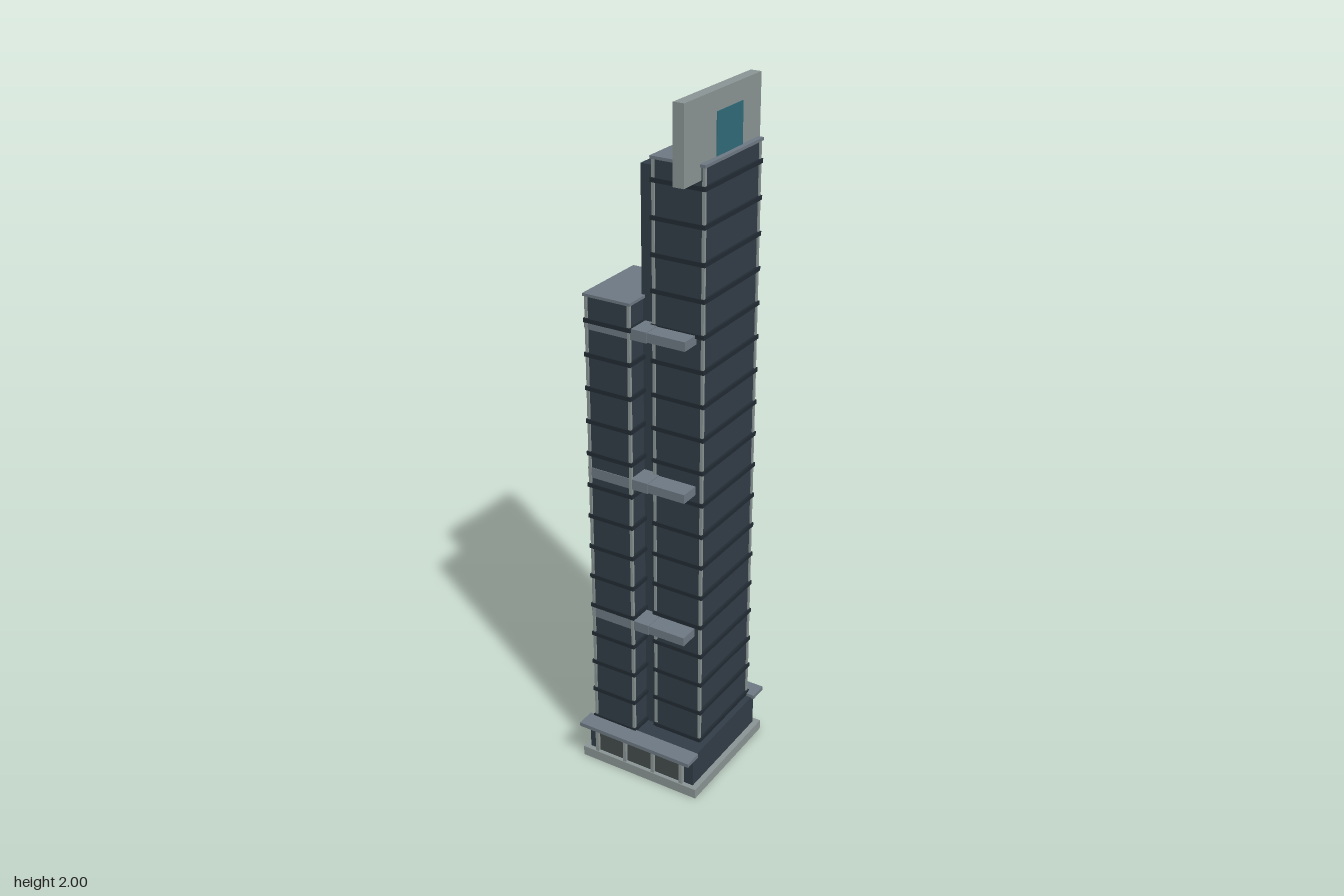
import * as THREE from 'three';

const mat = (color) => new THREE.MeshStandardMaterial({ color });
const glass = mat(0x323d47);
const bandDark = mat(0x222b33);
const stone = mat(0x8a9494);
const roofGrey = mat(0x6e7983);
const lobbyGlass = mat(0x434a4b);
const teal = mat(0x2f6b78);

// Box given by its extents on each axis
function block(parent, name, material, [x0, x1], [y0, y1], [z0, z1]) {
  const mesh = new THREE.Mesh(new THREE.BoxGeometry(x1 - x0, y1 - y0, z1 - z0), material);
  mesh.position.set((x0 + x1) / 2, (y0 + y1) / 2, (z0 + z1) / 2);
  mesh.name = name;
  parent.add(mesh);
  return mesh;
}

const FLOOR_START = 0.137;
const FLOOR_STEP = 0.0965;

// Glazed shaft with corner posts, projecting floor bands and a flat roof
function tower(name, [x0, x1], [z0, z1], top, floors) {
  const g = new THREE.Group();
  g.name = name;
  const inset = 0.007;
  const bx = [x0 + inset, x1 - inset];
  const bz = [z0 + inset, z1 - inset];
  block(g, 'shaft', glass, bx, [0.12, top - 0.008], bz);
  for (const x of bx) {
    for (const z of bz) {
      block(g, 'cornerPost', stone, [x - 0.004, x + 0.004], [0.12, top - 0.008], [z - 0.004, z + 0.004]);
    }
  }
  for (let i = 0; i < floors; i++) {
    const y = FLOOR_START + i * FLOOR_STEP;
    block(g, 'floorBand', bandDark, [x0, x1], [y - 0.006, y + 0.006], [z0, z1]);
  }
  block(g, 'roof', roofGrey, [x0, x1], [top - 0.008, top], [z0, z1]);
  return g;
}

export function createModel() {
  const model = new THREE.Group();
  model.name = 'skyscraper';

  // Ground slab and podium
  const podium = new THREE.Group();
  podium.name = 'podium';
  model.add(podium);
  block(podium, 'baseSlab', stone, [-0.193, 0.192], [0, 0.03], [-0.193, 0.191]);
  block(podium, 'podiumBody', glass, [-0.177, 0.175], [0.03, 0.128], [-0.176, 0.176]);

  // Lobby glazing, columns and canopy at the front and back
  for (const s of [1, -1]) {
    const span = (a, b) => (s > 0 ? [a, b] : [-b, -a]);
    block(podium, 'lobbyGlass', lobbyGlass, [-0.147, 0.14], [0.03, 0.122], span(0.17, 0.179));
    for (let i = 0; i < 4; i++) {
      const x = -0.147 + i * 0.0957;
      block(podium, 'column', stone, [x - 0.005, x + 0.005], [0.03, 0.126], span(0.175, 0.188));
    }
    block(podium, 'canopy', roofGrey, [-0.185, 0.184], [0.125, 0.137], span(0.162, 0.218));
  }

  // Two offset towers and the plain core between them
  model.add(tower('tallTower', [0, 0.159], [-0.177, 0.11], 1.838, 18));
  model.add(tower('shortTower', [-0.17, -0.026], [-0.073, 0.167], 1.466, 14));
  block(model, 'core', glass, [-0.036, 0.03], [0.12, 1.81], [-0.033, 0.094]);

  // Sky terraces bridging the towers
  for (const y of [0.498, 0.947, 1.381]) {
    const terrace = new THREE.Group();
    terrace.name = 'skyTerrace';
    model.add(terrace);
    block(terrace, 'terraceSlab', roofGrey, [-0.17, 0.02], [y - 0.015, y + 0.015], [-0.163, 0.162]);
    block(terrace, 'frontLedge', roofGrey, [-0.03, 0.133], [y - 0.013, y + 0.013], [0.05, 0.16]);
  }

  // Rooftop fin with an inset panel on its outer side
  block(model, 'roofFin', stone, [0.112, 0.143], [1.796, 2], [-0.186, 0.183]);
  block(model, 'finPanel', teal, [0.135, 0.145], [1.82, 1.948], [-0.094, 0.033]);

  return model;
}
